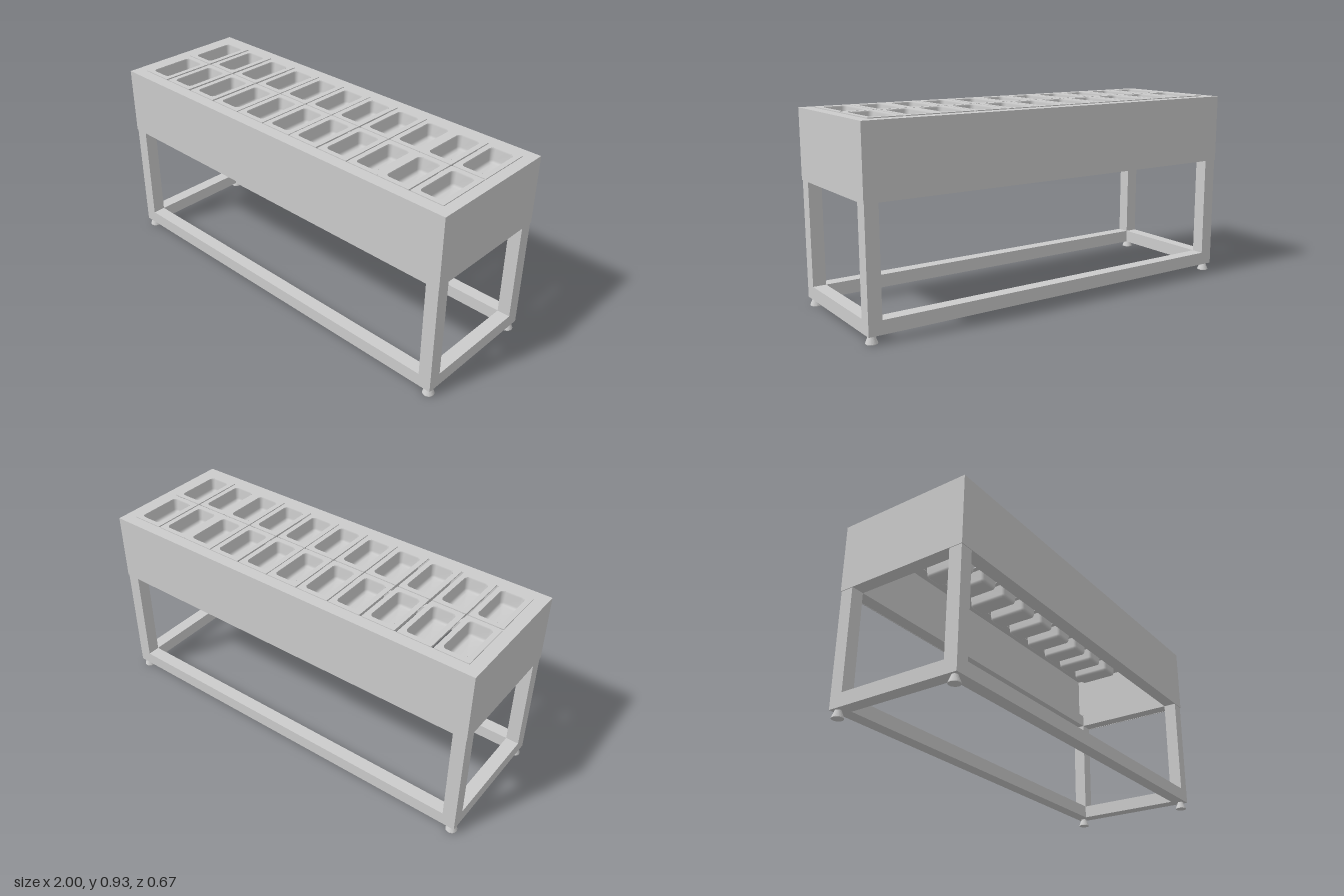
import * as THREE from 'three';

const grey = new THREE.MeshStandardMaterial({ color: 0xcccccc });
const sheet = new THREE.MeshStandardMaterial({ color: 0xcccccc, side: THREE.DoubleSide });

function add(parent, name, geometry, x = 0, y = 0, z = 0, material = grey) {
  const mesh = new THREE.Mesh(geometry, material);
  mesh.name = name;
  mesh.position.set(x, y, z);
  parent.add(mesh);
  return mesh;
}

// Box given by its lower and upper corners
function bar(parent, name, [x0, y0, z0], [x1, y1, z1]) {
  return add(parent, name, new THREE.BoxGeometry(x1 - x0, y1 - y0, z1 - z0),
    (x0 + x1) / 2, (y0 + y1) / 2, (z0 + z1) / 2);
}

function roundedRect(w, d, r, PathType = THREE.Shape) {
  const p = new PathType(), a = w / 2, b = d / 2;
  p.absarc(a - r, b - r, r, 0, Math.PI / 2);
  p.absarc(-a + r, b - r, r, Math.PI / 2, Math.PI);
  p.absarc(-a + r, -b + r, r, Math.PI, Math.PI * 1.5);
  p.absarc(a - r, -b + r, r, Math.PI * 1.5, Math.PI * 2);
  p.closePath();
  return p;
}

// Flat horizontal plate with a hole, its underside at y = 0
function plate(outline, hole, depth) {
  outline.holes.push(hole);
  return new THREE.ExtrudeGeometry(outline, { depth, bevelEnabled: false, curveSegments: 6 })
    .rotateX(-Math.PI / 2);
}

// Tub lofted from rounded rectangles that shrink towards the floor
function tubGeometry(w, d) {
  const sections = [[0, 0], [0.002, -0.006], [0.005, -0.056], [0.009, -0.066], [0.018, -0.071]];
  const pos = [], index = [], seg = 5, n = 4 * (seg + 1);
  for (const [inset, y] of sections) {
    const r = Math.max(0.02 - inset * 0.5, 0.008);
    for (let i = 0; i < n; i++) {
      const corner = Math.floor(i / (seg + 1));
      const t = (corner + (i % (seg + 1)) / seg) * Math.PI / 2;
      const sx = corner === 0 || corner === 3 ? 1 : -1, sz = corner < 2 ? 1 : -1;
      pos.push(sx * (w / 2 - inset - r) + r * Math.cos(t), y, sz * (d / 2 - inset - r) + r * Math.sin(t));
    }
  }
  for (let s = 0; s < sections.length - 1; s++) {
    for (let i = 0; i < n; i++) {
      const a = s * n + i, b = s * n + (i + 1) % n;
      index.push(a, a + n, b, b, a + n, b + n);
    }
  }
  const last = (sections.length - 1) * n, centre = sections.length * n;
  pos.push(0, sections.at(-1)[1], 0);
  for (let i = 0; i < n; i++) index.push(last + i, centre, last + (i + 1) % n);
  const g = new THREE.BufferGeometry();
  g.setAttribute('position', new THREE.Float32BufferAttribute(pos, 3));
  g.setIndex(index);
  g.computeVertexNormals();
  return g;
}

export function createModel() {
  const model = new THREE.Group();
  model.name = 'servingCounter';

  // Stand: legs, lower rails, upper rails and feet
  const stand = new THREE.Group();
  stand.name = 'stand';
  model.add(stand);
  const X = 0.997, Z = 0.332, T = 0.064;
  const footGeometry = new THREE.LatheGeometry(
    [[0, 0], [0.027, 0], [0.027, 0.003], [0.014, 0.037], [0, 0.037]].map(p => new THREE.Vector2(...p)), 24);
  const foot = footGeometry.toNonIndexed();
  foot.computeVertexNormals();
  for (const sx of [-1, 1]) {
    for (const sz of [-1, 1]) {
      add(stand, 'leg', new THREE.BoxGeometry(T, 0.63, T), sx * (X - T / 2), 0.352, sz * (Z - T / 2));
      add(stand, 'foot', foot, sx * 0.972, 0, sz * 0.304);
    }
  }
  for (const [name, y] of [['lowerRail', 0.037], ['upperRail', 0.599]]) {
    for (const s of [-1, 1]) {
      const z = s * (Z - T / 2), x = s * (X - T / 2);
      bar(stand, name, [-X + T, y, z - T / 2], [X - T, y + T, z + T / 2]);
      bar(stand, name, [x - T / 2, y, -Z + T], [x + T / 2, y + T, Z - T]);
    }
  }

  // Thin-walled body, open below
  const body = new THREE.Group();
  body.name = 'body';
  model.add(body);
  for (const s of [-1, 1]) {
    add(body, 'longPanel', new THREE.BoxGeometry(2, 0.333, 0.003), 0, 0.7635, s * 0.3335);
    add(body, 'endPanel', new THREE.BoxGeometry(0.003, 0.333, 0.664), s * 0.9985, 0.7635, 0);
  }
  const top = plate(roundedRect(1.994, 0.664, 0.0005), roundedRect(1.874, 0.55, 0.001, THREE.Path), 0.004);
  add(body, 'counterTop', top, 0, 0.926, 0);

  // Two rows of pans resting in the top opening
  const columns = [-0.858, -0.682, -0.505, -0.329, -0.158, 0.013, 0.182, 0.356, 0.527, 0.692, 0.864];
  const rim = plate(roundedRect(0.165, 0.274, 0.004), roundedRect(0.115, 0.226, 0.02, THREE.Path), 0.004);
  const tub = tubGeometry(0.115, 0.226);
  for (const x of columns) {
    for (const z of [-0.141, 0.139]) {
      const pan = new THREE.Group();
      pan.name = 'pan';
      pan.position.set(x, 0.93, z);
      add(pan, 'panRim', rim);
      add(pan, 'panTub', tub, 0, 0.004, 0, sheet);
      model.add(pan);
    }
  }
  return model;
}
